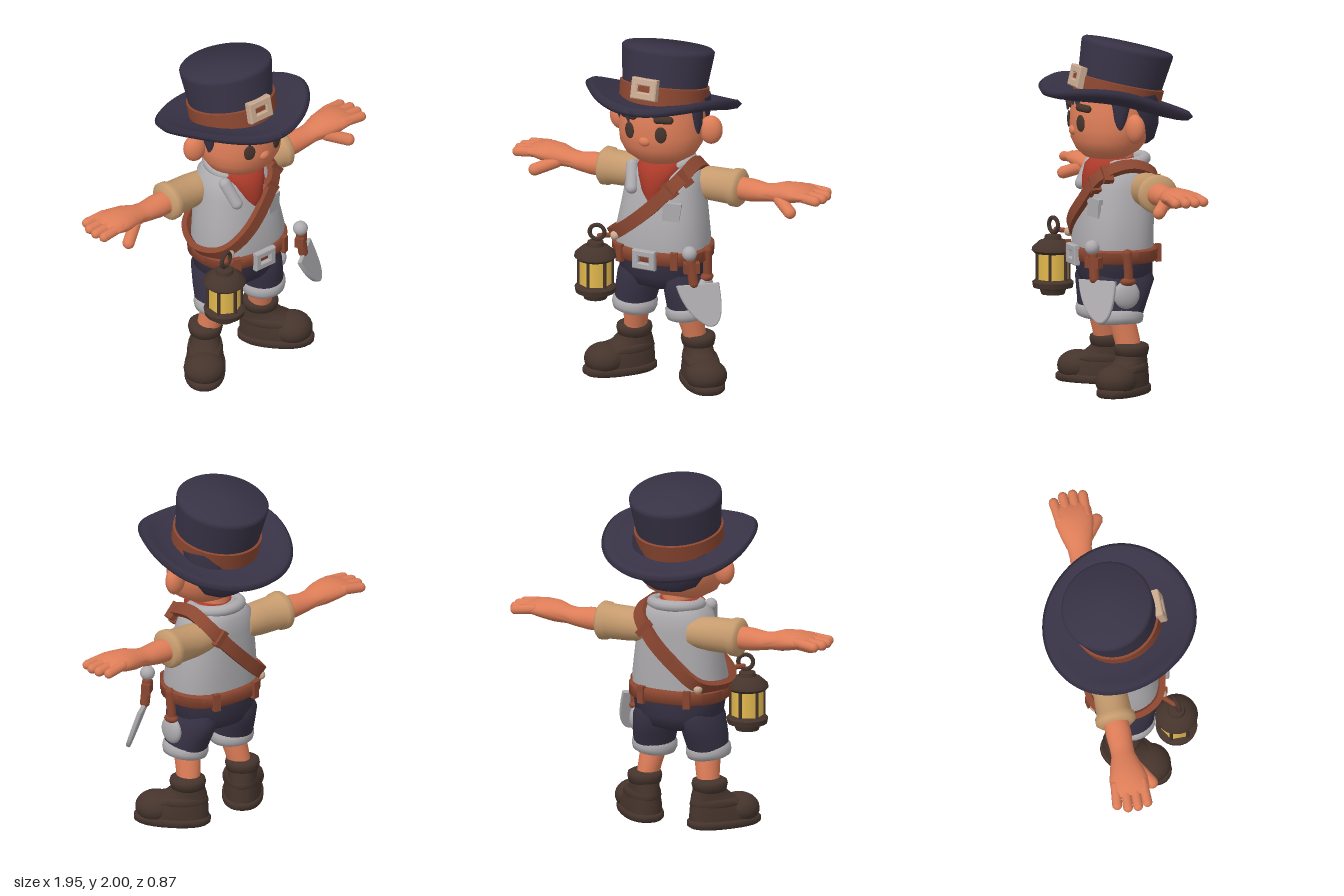
import * as THREE from 'three';
import { toCreasedNormals } from 'three/addons/utils/BufferGeometryUtils.js';

const V = (x, y, z) => new THREE.Vector3(x, y, z);
const mat = (name, color) => {
  const m = new THREE.MeshStandardMaterial({ color });
  m.name = name;
  return m;
};

// Stack of oval rings, bottom to top: [y, rx, rz, cx, cz]; p squares the ovals off
function loft(rings, p = 2, n = 32) {
  const pos = [], idx = [], round = v => Math.sign(v) * Math.abs(v) ** (2 / p);
  for (const [y, rx, rz, cx = 0, cz = 0] of rings)
    for (let i = 0; i < n; i++) {
      const a = i / n * Math.PI * 2;
      pos.push(cx + rx * round(Math.cos(a)), y, cz + rz * round(Math.sin(a)));
    }
  const top = rings.length - 1, b = pos.length / 3;
  for (const k of [0, top]) pos.push(rings[k][3] || 0, rings[k][0], rings[k][4] || 0);
  for (let i = 0; i < n; i++) {
    const k = (i + 1) % n;
    for (let j = 0; j < top; j++) {
      const o = j * n, u = o + n;
      idx.push(o + i, u + i, o + k, u + i, u + k, o + k);
    }
    idx.push(b, i, k, b + 1, top * n + k, top * n + i);
  }
  const g = new THREE.BufferGeometry();
  g.setAttribute('position', new THREE.Float32BufferAttribute(pos, 3));
  g.setIndex(idx);
  return toCreasedNormals(g, 0.95);
}

// Flat strap with a box section along a closed curve, facing away from a centre
function strapLoop(points, width, thick, centre) {
  const curve = new THREE.CatmullRomCurve3(points, true), n = 72, pos = [], idx = [];
  for (let i = 0; i < n; i++) {
    const c = curve.getPointAt(i / n), t = curve.getTangentAt(i / n);
    const out = c.clone().sub(centre);
    out.addScaledVector(t, -out.dot(t)).normalize();
    const side = t.clone().cross(out);
    for (const [s, o] of [[-1, -1], [1, -1], [1, 1], [-1, 1]])
      pos.push(...c.clone().addScaledVector(side, s * width / 2).addScaledVector(out, o * thick / 2).toArray());
    for (let k = 0; k < 4; k++) {
      const a = i * 4 + k, d = i * 4 + (k + 1) % 4, e = (i + 1) % n * 4;
      idx.push(a, e + k, d, d, e + k, e + (k + 1) % 4);
    }
  }
  const g = new THREE.BufferGeometry();
  g.setAttribute('position', new THREE.Float32BufferAttribute(pos, 3));
  g.setIndex(idx);
  return toCreasedNormals(g, 0.6);
}

const ball = (x, y, z, sx, sy = sx, sz = sx, ry = 0) =>
  new THREE.SphereGeometry(1, 24, 16).scale(sx, sy, sz).rotateY(ry).translate(x, y, z);
const cyl = (r1, r2, h, y, n = 24) => new THREE.CylinderGeometry(r1, r2, h, n).translate(0, y, 0);
const box = (w, h, d, x, y, z, rz = 0, ry = 0) =>
  new THREE.BoxGeometry(w, h, d).rotateZ(rz).rotateY(ry).translate(x, y, z);
function rod(a, b, r) {
  const d = b.clone().sub(a), m = a.clone().add(b).multiplyScalar(0.5);
  return new THREE.CapsuleGeometry(r, d.length(), 6, 12)
    .applyQuaternion(new THREE.Quaternion().setFromUnitVectors(V(0, 1, 0), d.normalize()))
    .translate(m.x, m.y, m.z);
}
function frame(w, h, t, d) {
  const rect = (P, a, b) => new P([[-a, -b], [a, -b], [a, b], [-a, b]].map(q => new THREE.Vector2(...q)));
  const s = rect(THREE.Shape, w / 2, h / 2);
  s.holes.push(rect(THREE.Path, w / 2 - t, h / 2 - t));
  return new THREE.ExtrudeGeometry(s, { depth: d, bevelSize: 0.006, bevelThickness: 0.006, bevelSegments: 1 });
}
const lathe = pts => toCreasedNormals(new THREE.LatheGeometry(pts.map(q => new THREE.Vector2(...q)), 48), 0.8);
// Mirrored copy with the corner order turned round
function mirrored(geo) {
  const g = (geo.index ? geo.toNonIndexed() : geo.clone()).scale(-1, 1, 1), idx = [];
  for (let i = 0; i < g.attributes.position.count; i += 3) idx.push(i, i + 2, i + 1);
  g.setIndex(idx);
  return g;
}

export function createModel() {
  const navy = mat('navy', 0x373245), skin = mat('skin', 0xdd7d58), leather = mat('leather', 0x8a4630),
    grey = mat('grey cloth', 0xadabae), tan = mat('tan sleeve', 0xc69b6e), dark = mat('dark brown', 0x45342c),
    yellow = mat('lamp yellow', 0xefc352), red = mat('red', 0xab3a2a), bone = mat('bone', 0xc9aa90);
  const model = new THREE.Group();
  const add = (name, geo, m, parent = model) => {
    const mesh = new THREE.Mesh(geo, m);
    mesh.name = name;
    parent.add(mesh);
  };
  const pair = (name, geo, m) => {
    add(name + 'Left', geo, m);
    add(name + 'Right', mirrored(geo), m);
  };
  const group = (name, x, y, z, parent = model) => {
    const g = new THREE.Group();
    g.name = name;
    g.position.set(x, y, z);
    parent.add(g);
    return g;
  };

  // Head and face
  add('neck', cyl(0.085, 0.09, 0.14, 1.31).translate(0, 0, -0.01), skin);
  add('head', loft([[1.305, 0.06, 0.05, 0, 0.06], [1.32, 0.135, 0.12, 0, 0.06], [1.36, 0.203, 0.175, 0, 0.05],
    [1.42, 0.238, 0.215, 0, 0.04], [1.49, 0.248, 0.235, 0, 0.03], [1.58, 0.24, 0.24, 0, 0.02], [1.68, 0.22, 0.23, 0, 0.01]]), skin);
  add('nose', ball(0, 1.475, 0.252, 0.036, 0.03, 0.028), skin);
  pair('ear', ball(0.285, 1.505, -0.012, 0.066, 0.083, 0.05, 0.3), skin);
  pair('eye', ball(0.098, 1.525, 0.247, 0.034, 0.048, 0.01, 0.35), dark);
  pair('eyebrow', rod(V(0.075, 1.612, 0.245), V(0.14, 1.61, 0.22), 0.022), dark);
  // Hair
  add('hairBack', loft([[1.39, 0.09, 0.04, 0, -0.14], [1.42, 0.16, 0.09, 0, -0.12], [1.5, 0.215, 0.13, 0, -0.1],
    [1.6, 0.24, 0.15, 0, -0.085], [1.68, 0.245, 0.17, 0, -0.06]]), navy);
  pair('sideburn', loft([[1.49, 0.008, 0.012, 0.235, 0.06], [1.55, 0.02, 0.035, 0.24, 0.06], [1.66, 0.025, 0.06, 0.23, 0.05]]), navy);
  for (const [x, y] of [[-0.12, 1.575], [-0.03, 1.615], [0.04, 1.62]])
    add('fringe', loft([[y, 0.005, 0.005, x + 0.02, 0.253], [1.64, 0.025, 0.015, x, 0.245], [1.68, 0.035, 0.02, x, 0.23]], 2, 12), navy);

  // Hat, tilted back, brim curled up at the sides towards the front
  const hat = group('hat', -0.012, 1.62, 0);
  hat.rotation.x = -0.23;
  const brim = new THREE.LatheGeometry([[0.15, -0.02], [0.3, -0.027], [0.37, -0.026], [0.42, -0.018], [0.443, 0.008], [0.42, 0.03],
    [0.37, 0.022], [0.3, 0.015], [0.2, 0.02]].map(q => new THREE.Vector2(...q)), 64);
  const bp = brim.attributes.position;
  for (let i = 0; i < bp.count; i++) {
    const x = bp.getX(i) / 0.43, z = bp.getZ(i) / 0.43;
    bp.setY(i, bp.getY(i) + (0.06 + 0.05 * z) * x * x - 0.025 * Math.max(z, 0) ** 2);
  }
  brim.computeVertexNormals();
  add('hatBrim', brim, navy, hat);
  add('hatCrown', lathe([[0.235, -0.02], [0.238, 0.1], [0.262, 0.3], [0.262, 0.315], [0.25, 0.327], [0, 0.332]]), navy, hat);
  add('hatBand', lathe([[0.23, 0], [0.249, 0.01], [0.253, 0.115], [0.23, 0.122]]), leather, hat);
  add('hatBuckle', frame(0.145, 0.11, 0.03, 0.035).translate(0, 0.1, 0.238), bone, hat);
  add('hatBuckleTongue', box(0.1, 0.025, 0.035, 0, 0.1, 0.25), leather, hat);

  // Vest, collar and neckerchief
  add('vest', loft([[0.74, 0.265, 0.21, 0, 0.02], [0.85, 0.272, 0.214, 0, 0.023], [1, 0.248, 0.202, 0, 0.004], [1.15, 0.225, 0.185, 0, -0.01],
    [1.24, 0.2, 0.17, 0, -0.025], [1.285, 0.15, 0.14, 0, -0.03], [1.305, 0.09, 0.1, 0, -0.03]], 2.4, 40), grey);
  add('collar', new THREE.TorusGeometry(0.135, 0.032, 12, 32).rotateX(Math.PI / 2 + 0.12).translate(0, 1.285, -0.03), grey);
  add('neckerchief', loft([[1.07, 0.015, 0.02, 0, 0.165], [1.15, 0.065, 0.05, 0, 0.15], [1.22, 0.1, 0.085, 0, 0.11],
    [1.275, 0.128, 0.12, 0, 0.06], [1.305, 0.118, 0.125, 0, 0.025], [1.315, 0.1, 0.11, 0, 0.015]]), red);
  add('lapelRoll', rod(V(-0.155, 1.26, 0.1), V(-0.125, 1.15, 0.165), 0.035), grey);
  add('chestPocket', box(0.1, 0.09, 0.02, 0.13, 1.04, 0.178, -0.06, 0.3), grey);
  add('pocketFlap', box(0.11, 0.03, 0.03, 0.13, 1.085, 0.172, -0.06, 0.3), grey);

  // Shoulder strap with keepers
  add('shoulderStrap', strapLoop([V(0.18, 1.28, -0.03), V(0.165, 1.235, 0.14), V(0.02, 1.07, 0.21), V(-0.13, 0.94, 0.22),
    V(-0.235, 0.865, 0.17), V(-0.285, 0.83, 0.02), V(-0.2, 0.86, -0.175), V(-0.05, 0.99, -0.215), V(0.08, 1.12, -0.21),
    V(0.165, 1.23, -0.16)], 0.075, 0.034, V(0, 1.04, 0)), leather);
  for (const [x, y, z] of [[0.185, 1.24, 0.12], [0.115, 1.175, 0.17], [0.12, 1.165, -0.2]])
    add('strapKeeper', box(0.038, 0.1, 0.055, x, y, z, 0.75), leather);
  add('strapStud', ball(-0.21, 0.865, 0.208, 0.026), bone);
  add('strapStudBack', ball(-0.2, 0.84, -0.18, 0.026), bone);

  // Belt
  add('belt', loft([[0.735, 0.272, 0.222, 0, 0.018], [0.745, 0.285, 0.234, 0, 0.018], [0.805, 0.287, 0.236, 0, 0.018],
    [0.815, 0.274, 0.224, 0, 0.018]], 2.4, 40), leather);
  add('beltBuckle', frame(0.13, 0.1, 0.026, 0.025).translate(0, 0.77, 0.245), grey);
  for (const [x, z, ry] of [[-0.17, 0.225, -0.35], [0.17, 0.225, 0.35], [-0.14, -0.2, 0.2], [0.14, -0.2, -0.2]])
    add('beltLoop', box(0.04, 0.1, 0.03, x, 0.775, z, 0, ry), leather);

  // Arms, sleeves and hands
  const along = rings => loft(rings, 2, 24).rotateZ(-Math.PI / 2).translate(0, 1.15, -0.1);
  pair('sleeve', along([[0.13, 0.085, 0.085], [0.24, 0.097, 0.095], [0.37, 0.1, 0.1], [0.385, 0.108, 0.113], [0.42, 0.11, 0.115], [0.437, 0.095, 0.095]]), tan);
  pair('arm', along([[0.4, 0.065, 0.07], [0.5, 0.064, 0.072], [0.58, 0.052, 0.066], [0.63, 0.05, 0.068, -0.008], [0.7, 0.06, 0.09, -0.02],
    [0.78, 0.052, 0.108, -0.03], [0.85, 0.036, 0.108, -0.035], [0.885, 0.018, 0.095, -0.033]]), skin);
  for (const [z0, z1, x] of [[-0.18, -0.192, 0.92], [-0.128, -0.135, 0.945], [-0.076, -0.078, 0.948], [-0.026, -0.022, 0.935]])
    pair('finger', rod(V(0.81, 1.188, z0), V(x, 1.175, z1), 0.028), skin);
  pair('thumb', rod(V(0.7, 1.145, -0.04), V(0.8, 1.105, 0.03), 0.035), skin);

  // Shorts and legs
  add('shortsSeat', loft([[0.55, 0.08, 0.1, 0, 0.01], [0.58, 0.19, 0.165, 0, 0.01], [0.65, 0.25, 0.2, 0, 0.01], [0.76, 0.265, 0.21, 0, 0.018]], 2.3), navy);
  pair('shortsLeg', loft([[0.41, 0.112, 0.122, 0.17, 0.04], [0.52, 0.122, 0.15, 0.155, 0.025], [0.63, 0.122, 0.182, 0.138, 0.01], [0.7, 0.1, 0.16, 0.13, 0.01]]), navy);
  pair('shortsCuff', loft([[-0.045, 0.1, 0.11], [-0.035, 0.119, 0.129], [-0.01, 0.127, 0.136], [0.02, 0.125, 0.135], [0.04, 0.112, 0.12]])
    .rotateZ(0.12).translate(0.166, 0.43, 0.04), grey);
  pair('leg', loft([[0.2, 0.06, 0.068, 0.195, -0.015], [0.3, 0.065, 0.074, 0.18, 0], [0.42, 0.076, 0.08, 0.163, 0.03]]), skin);

  // Boots, toes turned out
  const boot = (name, geo) => pair(name, geo.rotateY(0.72).translate(0.2, 0, -0.02), dark);
  boot('bootSole', loft([[0, 0.108, 0.205, 0, 0.088], [0.01, 0.116, 0.218, 0, 0.088], [0.035, 0.116, 0.218, 0, 0.088], [0.045, 0.108, 0.21, 0, 0.088]], 2.3));
  boot('bootUpper', loft([[0.03, 0.106, 0.205, 0, 0.085], [0.09, 0.105, 0.198, 0, 0.08], [0.14, 0.092, 0.165, 0, 0.052],
    [0.18, 0.082, 0.12, 0, 0.012], [0.22, 0.078, 0.09, 0, -0.005], [0.26, 0.08, 0.085, 0, -0.005]], 2.2));
  boot('bootToe', ball(0, 0.085, 0.18, 0.117, 0.09, 0.117));
  boot('bootCollar', loft([[0.205, 0.075, 0.08], [0.215, 0.09, 0.095], [0.25, 0.098, 0.103], [0.27, 0.094, 0.098], [0.28, 0.078, 0.08]]));
  boot('bootStrap', loft([[0.125, 0.097, 0.165, 0, 0.052], [0.135, 0.101, 0.175, 0, 0.056], [0.16, 0.095, 0.152, 0, 0.04], [0.17, 0.085, 0.125, 0, 0.018]]));

  // Lantern
  const lamp = group('lantern', -0.3, 0, 0.27);
  add('lampBase', lathe([[0, 0.5], [0.065, 0.5], [0.075, 0.53], [0.112, 0.54], [0.117, 0.57], [0.1, 0.585], [0, 0.585]]), dark, lamp);
  add('lampGlass', cyl(0.095, 0.095, 0.18, 0.665, 6), yellow, lamp);
  for (let i = 0; i < 6; i++) {
    const a = i * Math.PI / 3;
    add('lampPost', cyl(0.01, 0.01, 0.18, 0.665, 8).translate(0.094 * Math.sin(a), 0, 0.094 * Math.cos(a)), dark, lamp);
  }
  add('lampRoof', lathe([[0, 0.735], [0.105, 0.735], [0.12, 0.75], [0.116, 0.768], [0.075, 0.805], [0.05, 0.812], [0.045, 0.835], [0, 0.845]]), dark, lamp);
  add('lampRing', new THREE.TorusGeometry(0.042, 0.012, 10, 28).rotateY(0.3).translate(0.01, 0.893, 0), dark, lamp);
  add('lampHook', rod(V(-0.28, 0.87, 0.26), V(-0.22, 0.865, 0.2), 0.014), leather);

  // Trowel at the belt, blade swung outwards at the tip
  const trowel = group('trowel', 0.285, 0, 0.235);
  trowel.rotation.y = 0.65;
  const s = new THREE.Shape();
  s.moveTo(-0.085, 0);
  s.lineTo(0.15, 0.005);
  s.quadraticCurveTo(0.165, -0.14, 0.145, -0.19);
  s.quadraticCurveTo(0.12, -0.25, 0.07, -0.225);
  s.quadraticCurveTo(-0.04, -0.16, -0.085, 0);
  const blade = group('trowelBladeTilt', 0, 0.655, 0.005, trowel);
  blade.rotation.x = -0.32;
  add('trowelBlade', new THREE.ExtrudeGeometry(s, { depth: 0.015, bevelSize: 0.005, bevelThickness: 0.005, bevelSegments: 1 }), grey, blade);
  add('trowelHandle', rod(V(0.01, 0.67, 0.01), V(-0.005, 0.8, 0), 0.028), leather, trowel);
  add('trowelKnob', ball(-0.012, 0.845, 0, 0.042), grey, trowel);
  add('trowelHolder', box(0.09, 0.06, 0.05, 0, 0.76, 0), leather, trowel);

  // Pouch on the left hip
  add('hipPouch', ball(0.272, 0.565, 0.035, 0.035, 0.08, 0.077), grey);
  add('hipPouchStrap', rod(V(0.285, 0.8, 0.035), V(0.28, 0.66, 0.025), 0.026), leather);
  add('hipPouchTie', ball(0.28, 0.64, 0.03, 0.034, 0.025, 0.045), leather);
  return model;
}
